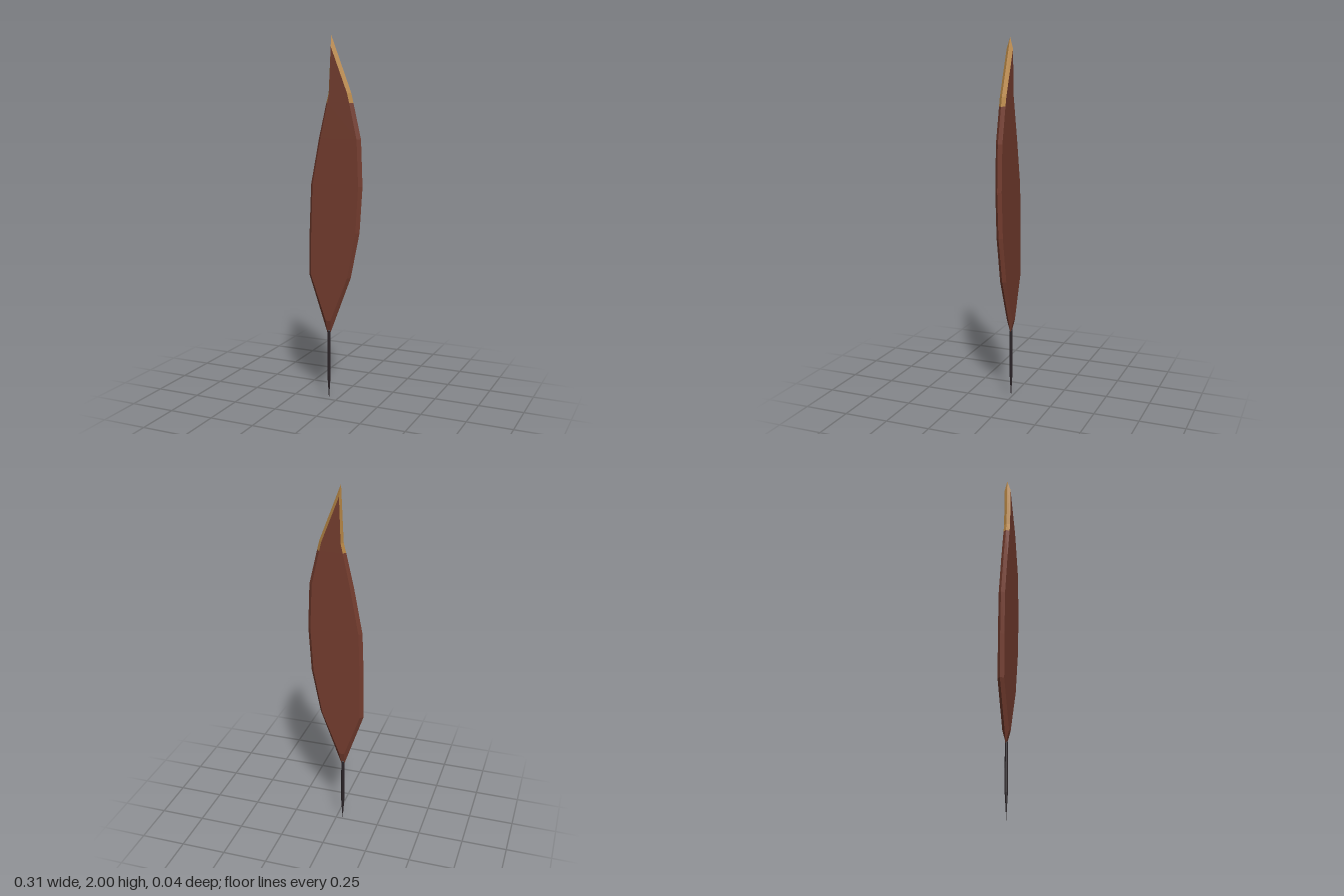
import * as THREE from 'three';

// Blade rows from tip to base:
// [ridge y, ridge left x, ridge right x, face y, face left x, face right x]
const ROWS = [
  [2.00, -0.025, -0.025, 1.94, -0.020, -0.020],
  [1.70, -0.040, 0.090, 1.70, -0.029, 0.073],
  [1.65, -0.053, 0.102, 1.65, -0.040, 0.085],
  [1.46, -0.097, 0.146, 1.46, -0.081, 0.128],
  [1.21, -0.145, 0.156, 1.21, -0.128, 0.138],
  [0.96, -0.155, 0.140, 0.96, -0.137, 0.123],
  [0.71, -0.158, 0.090, 0.71, -0.140, 0.075],
  [0.39, -0.050, -0.030, 0.46, -0.052, -0.024],
];
const HALF = 0.018; // half thickness of the blade
const GOLD_ROWS = 2; // bevel spans near the tip that are gilded

// Flat-shaded geometry from a list of quads (corners counter-clockwise)
function quadsGeometry(quads) {
  const pos = [];
  for (const [a, b, c, d] of quads) pos.push(...a, ...b, ...c, ...a, ...c, ...d);
  const g = new THREE.BufferGeometry();
  g.setAttribute('position', new THREE.Float32BufferAttribute(pos, 3));
  g.computeVertexNormals();
  return g;
}

export function createModel() {
  const group = new THREE.Group();
  const material = (name, color) => {
    const m = new THREE.MeshStandardMaterial({ color, flatShading: true });
    m.name = name;
    return m;
  };
  const brown = material('reddish brown', 0x733c2e);
  const gold = material('gold', 0xb98846);
  const dark = material('dark quill', 0x2b2428);

  const add = (name, geometry, mat) => {
    const mesh = new THREE.Mesh(geometry, mat);
    mesh.name = name;
    group.add(mesh);
    return mesh;
  };

  // Blade: two flat faces with bevels running out to a sharp centre ridge
  const faces = [], bevels = [], gilded = [];
  for (const s of [1, -1]) {
    const put = (list, a, b, c, d) => list.push(s > 0 ? [a, b, c, d] : [d, c, b, a]);
    const corners = ([y, l, r, fy, fl, fr]) => [
      [l, y, 0], [fl, fy, s * HALF], [fr, fy, s * HALF], [r, y, 0],
    ];
    for (let i = 0; i < ROWS.length - 1; i++) {
      const t = corners(ROWS[i]), b = corners(ROWS[i + 1]);
      const edge = i < GOLD_ROWS ? gilded : bevels;
      put(edge, t[0], b[0], b[1], t[1]);
      put(faces, t[1], b[1], b[2], t[2]);
      put(edge, t[2], b[2], b[3], t[3]);
    }
    // closing slope at the base
    const e = corners(ROWS[ROWS.length - 1]);
    put(bevels, e[1], e[0], e[3], e[2]);
  }
  add('bladeFaces', quadsGeometry(faces), brown);
  add('bladeBevels', quadsGeometry(bevels), brown);
  add('gildedTipEdges', quadsGeometry(gilded), gold);

  // Stem: slim faceted shaft ending in a point
  const profile = [[0, 0], [0.010, 0.14], [0.010, 0.29], [0.009, 0.40], [0, 0.41]]
    .map(([r, y]) => new THREE.Vector2(r, y));
  const stem = add('stem', new THREE.LatheGeometry(profile, 8), dark);
  stem.position.x = -0.04;
  stem.scale.z = 0.85;

  return group;
}
